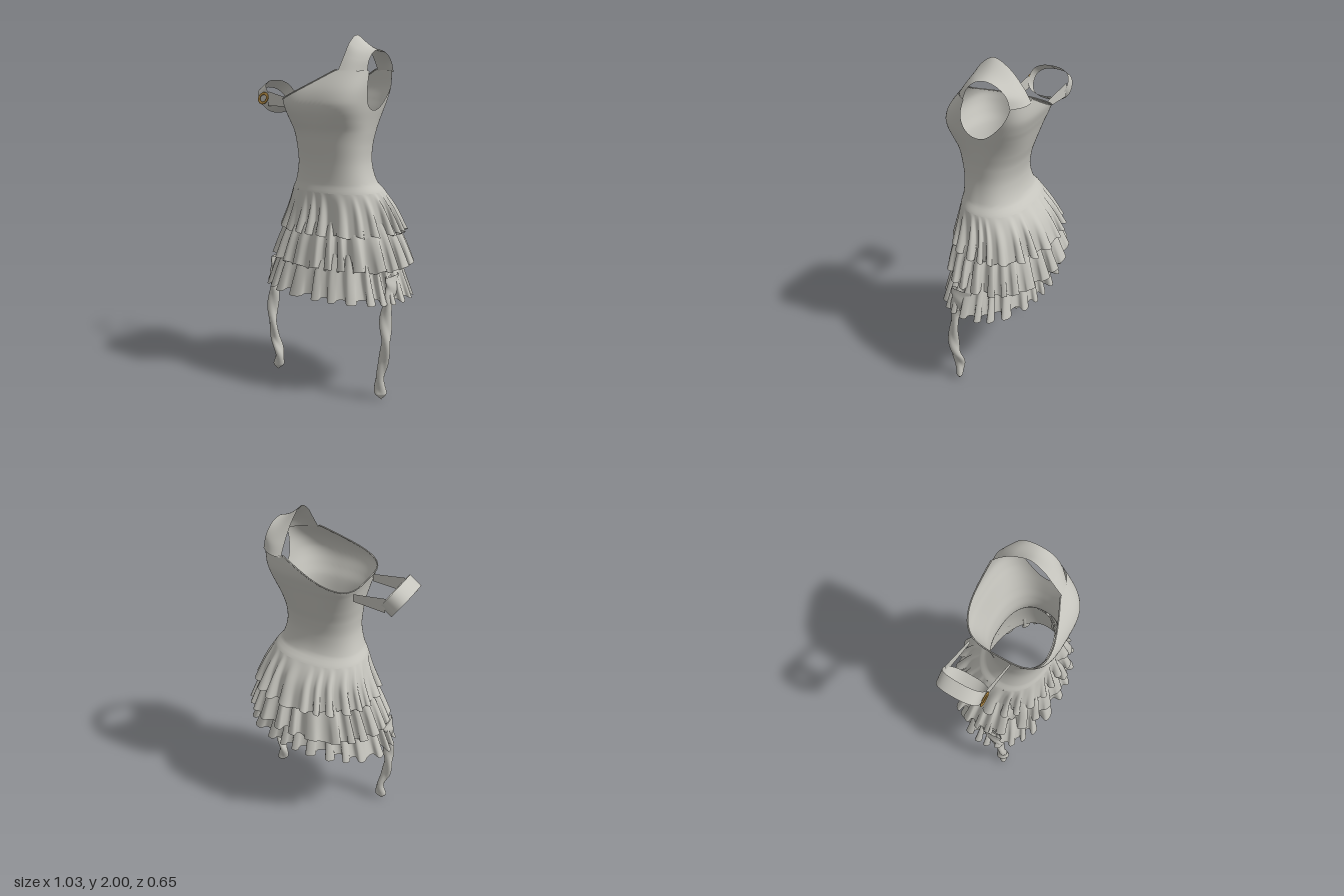
import * as THREE from 'three';
import { ParametricGeometry } from 'three/addons/geometries/ParametricGeometry.js';

const { lerp, clamp } = THREE.MathUtils;
const TAU = Math.PI * 2;
const V = (x, y, z) => new THREE.Vector3(x, y, z);

// Cross-sections, bottom to top: [y, xMin, xMax, zBack, zFront, roundness]
const HIP = [1.05, -0.262, 0.383, -0.245, 0.255, 2.2];
const HIGH_HIP = [1.15, -0.218, 0.33, -0.165, 0.234, 2.3];
const WAIST = [1.20, -0.187, 0.295, -0.118, 0.222, 2.4];
const BODICE = [
  HIP, HIGH_HIP, WAIST,
  [1.30, -0.162, 0.268, -0.097, 0.223, 2.4],
  [1.40, -0.165, 0.268, -0.108, 0.238, 2.4],
  [1.48, -0.176, 0.278, -0.132, 0.255, 2.5],
  [1.54, -0.186, 0.288, -0.15, 0.28, 2.8],
  [1.60, -0.198, 0.3, -0.168, 0.299, 3.2],
  [1.65, -0.21, 0.308, -0.185, 0.298, 3.5],
  [1.72, -0.216, 0.318, -0.204, 0.268, 3.5],
  [1.82, -0.22, 0.325, -0.2, 0.192, 3.2],
];
const TIERS = [
  { name: 'upperRuffle', seed: 0.4, pleats: 23, amp: 0.021, gather: 0, top: 1.15, hem: 0.92, rows: [
    [0.92, -0.32, 0.435, -0.31, 0.283, 2.2], HIP, HIGH_HIP, WAIST] },
  { name: 'middleRuffle', seed: 2.1, pleats: 24, amp: 0.023, gather: 0.3, top: 1.0, hem: 0.735, rows: [
    [0.735, -0.387, 0.487, -0.325, 0.31, 2.2], [0.88, -0.32, 0.432, -0.275, 0.28, 2.2],
    [1.0, -0.255, 0.37, -0.225, 0.235, 2.2]] },
  { name: 'lowerRuffle', seed: 4.7, pleats: 25, amp: 0.024, gather: 0.3, top: 0.82, hem: 0.57, rows: [
    [0.57, -0.415, 0.512, -0.262, 0.322, 2.2], [0.7, -0.362, 0.46, -0.23, 0.29, 2.2],
    [0.82, -0.31, 0.415, -0.2, 0.25, 2.2]] },
];
const LINING = [[0.68, -0.32, 0.42, -0.2, 0.25, 2.2], [0.9, -0.25, 0.37, -0.19, 0.215, 2.2],
  [1.13, -0.21, 0.32, -0.155, 0.19, 2.3]];

// Smooth interpolation between the cross-sections at height y
function rowAt(rows, y) {
  let i = 0;
  while (i < rows.length - 2 && y > rows[i + 1][0]) i++;
  const at = k => rows[clamp(k, 0, rows.length - 1)];
  const [a, b, c, d] = [at(i - 1), at(i), at(i + 1), at(i + 2)];
  const h = c[0] - b[0], t = clamp((y - b[0]) / h, 0, 1);
  return b.map((p1, k) => {
    const m1 = h * (c[k] - a[k]) / (c[0] - a[0]), m2 = h * (d[k] - p1) / (d[0] - b[0]);
    return p1 + t * (m1 + t * (3 * (c[k] - p1) - 2 * m1 - m2 + t * (2 * (p1 - c[k]) + m1 + m2)));
  });
}

// Point on the rounded-box section at height y
function ringPoint(rows, y, angle) {
  const [, x0, x1, z0, z1, n] = rowAt(rows, y);
  const c = Math.cos(angle), s = Math.sin(angle);
  const r = Math.pow(Math.abs(c) ** n + Math.abs(s) ** n, -1 / n);
  return V((x0 + x1) / 2 + r * c * (x1 - x0) / 2, y, (z0 + z1) / 2 + r * s * (z1 - z0) / 2);
}

// Slanted one-shoulder neckline, with a scooped armhole on the left side
function topEdge(angle) {
  const p = ringPoint(BODICE, 1.79, angle);
  if (p.x < 0.165) return 1.645 + 0.17 * clamp((p.x + 0.21) / 0.36, 0, 1) ** 1.3;
  const t = Math.min(1, Math.abs((p.z + 0.012) / 0.135));
  return 1.6 + 0.21 * t ** 2.4;
}

const bodicePoint = (u, v) =>
  ringPoint(BODICE, lerp(1.15, topEdge(u * TAU), v), u * TAU);

// Uneven pleats that deepen towards the hem
function rufflePoint({ rows, seed, pleats, amp, gather, top, hem }, u, v) {
  const a = u * TAU;
  const p = ringPoint(rows, lerp(top, hem, v), a);
  const phase = pleats * a + 1.3 * Math.sin(3 * a + seed) + 0.9 * Math.sin(7 * a + 2 * seed);
  const depth = amp * (gather + (1 - gather) * v) * (1 + 0.4 * Math.sin(5 * a + seed));
  const out = depth * (Math.cos(phase) + 0.2 * Math.cos(2 * phase + seed) - 0.85);
  const side = 0.4 * depth * v * Math.sin(2 * phase);
  p.x += out * Math.cos(a) - side * Math.sin(a);
  p.z += out * Math.sin(a) + side * Math.cos(a);
  p.y += 0.009 * v * Math.sin(phase + seed);
  return p;
}

export function createModel() {
  const group = new THREE.Group();
  const cloth = new THREE.MeshStandardMaterial({ color: 0xc5c4bd, side: THREE.DoubleSide });
  cloth.name = 'grey cloth';
  const gold = new THREE.MeshStandardMaterial({ color: 0xc0954a });
  gold.name = 'gold';

  const add = (name, geometry, material = cloth) => {
    const mesh = new THREE.Mesh(geometry, material);
    mesh.name = name;
    group.add(mesh);
    return mesh;
  };
  const sheet = (name, fn, nu, nv) =>
    add(name, new ParametricGeometry((u, v, target) => target.copy(fn(u, v)), nu, nv));

  // Bodice and neckline piping
  sheet('bodice', bodicePoint, 180, 40);
  const edge = [];
  for (let i = 0; i <= 120; i++) {
    const p = bodicePoint(i / 120, 1);
    if (p.x < 0.165) edge.push(p);
  }
  add('necklineTrim', new THREE.TubeGeometry(new THREE.CatmullRomCurve3(edge), 120, 0.004, 6));

  // Three ruffled tiers over a smooth lining
  for (const tier of TIERS) sheet(tier.name, (u, v) => rufflePoint(tier, u, v), 420, 14);
  sheet('skirtLining', (u, v) => ringPoint(LINING, lerp(1.13, 0.68, v), u * TAU), 72, 10);

  // Broad shoulder strap
  const inner = new THREE.CatmullRomCurve3([V(0.165, 1.8, 0.2), V(0.165, 1.89, 0.137), V(0.165, 1.96, 0.085),
    V(0.165, 2.0, 0.015), V(0.165, 1.955, -0.075), V(0.165, 1.87, -0.153), V(0.165, 1.8, -0.198)]);
  const outer = new THREE.CatmullRomCurve3([V(0.305, 1.8, 0.122), V(0.3, 1.86, 0.1), V(0.297, 1.905, 0.055),
    V(0.295, 1.92, 0), V(0.297, 1.905, -0.07), V(0.298, 1.86, -0.125), V(0.3, 1.8, -0.147)]);
  sheet('shoulderStrap', (u, v) => {
    const p = inner.getPoint(v).lerp(outer.getPoint(v), u);
    const bow = Math.sin(Math.PI * u);
    p.z += 0.022 * bow * Math.cos(Math.PI * v);
    p.y -= 0.014 * bow * Math.sin(Math.PI * v);
    return p;
  }, 10, 40);

  // Tilted oval arm band
  const across = V(0.57, -0.82, 0), axis = V(0.82, 0.57, 0), centre = V(-0.433, 1.652, -0.018);
  sheet('armBand', (u, v) => {
    const c = Math.cos(u * TAU), s = Math.sin(u * TAU);
    const r = Math.pow(Math.abs(c) ** 2.5 + Math.abs(s) ** 2.5, -0.4);
    const p = centre.clone().addScaledVector(across, 0.09 * r * c).addScaledVector(axis, (v - 0.5) * 0.08);
    p.z += 0.121 * r * s;
    return p;
  }, 64, 4);

  // Straps joining the band to the bodice
  for (const [name, zBand, zBody] of [['frontArmStrap', 0.104, 0.125], ['backArmStrap', -0.134, -0.112]]) {
    sheet(name, (u, v) => {
      const top = lerp(1.685, 1.645, u);
      return V(lerp(-0.4, -0.208, u), lerp(top, 1.602, v), lerp(zBand, zBody, u));
    }, 8, 2);
  }

  // Gold ring on the band
  const ring = add('bandRing', new THREE.TorusGeometry(0.032, 0.009, 10, 32), gold);
  ring.position.set(-0.434, 1.645, 0.112);
  ring.rotation.z = 0.55;
  ring.scale.set(1.05, 0.8, 0.5);

  // Creased ribbons hanging from the skirt, spreading into a flap at the top
  const ribbon = (name, xs, seed) => {
    const ys = [0.71, 0.63, 0.5, 0.36, 0.22, 0.11, 0.002];
    const zs = [0.082, 0.1, 0.133, 0.148, 0.146, 0.138, 0.14];
    const path = new THREE.CatmullRomCurve3(xs.map((x, i) => V(x, ys[i], zs[i])));
    sheet(name, (u, v) => {
      const p = path.getPoint(v), a = u * TAU;
      const flare = 0.036 * clamp(1 - v / 0.3, 0, 1);
      const twist = Math.PI / 2 + Math.max(0, v - 0.25) * 6;
      const taper = clamp((1 - v) * 20, 0.02, 1);
      const crease = 1 + 0.18 * Math.sin(v * 34 + seed + 2 * a) * Math.min(1, v * 4);
      const w = (0.03 + flare) * Math.cos(a) * crease;
      const d = (0.025 - flare * 0.3) * Math.sin(a) * crease;
      p.x += taper * (w * Math.cos(twist) - d * Math.sin(twist));
      p.z += taper * (w * Math.sin(twist) + d * Math.cos(twist));
      return p;
    }, 20, 70);
  };
  ribbon('rightRibbon', [-0.356, -0.362, -0.35, -0.355, -0.342, -0.312, -0.325], 0);
  ribbon('leftRibbon', [0.45, 0.458, 0.447, 0.459, 0.442, 0.415, 0.428], 0.8);

  return group;
}
